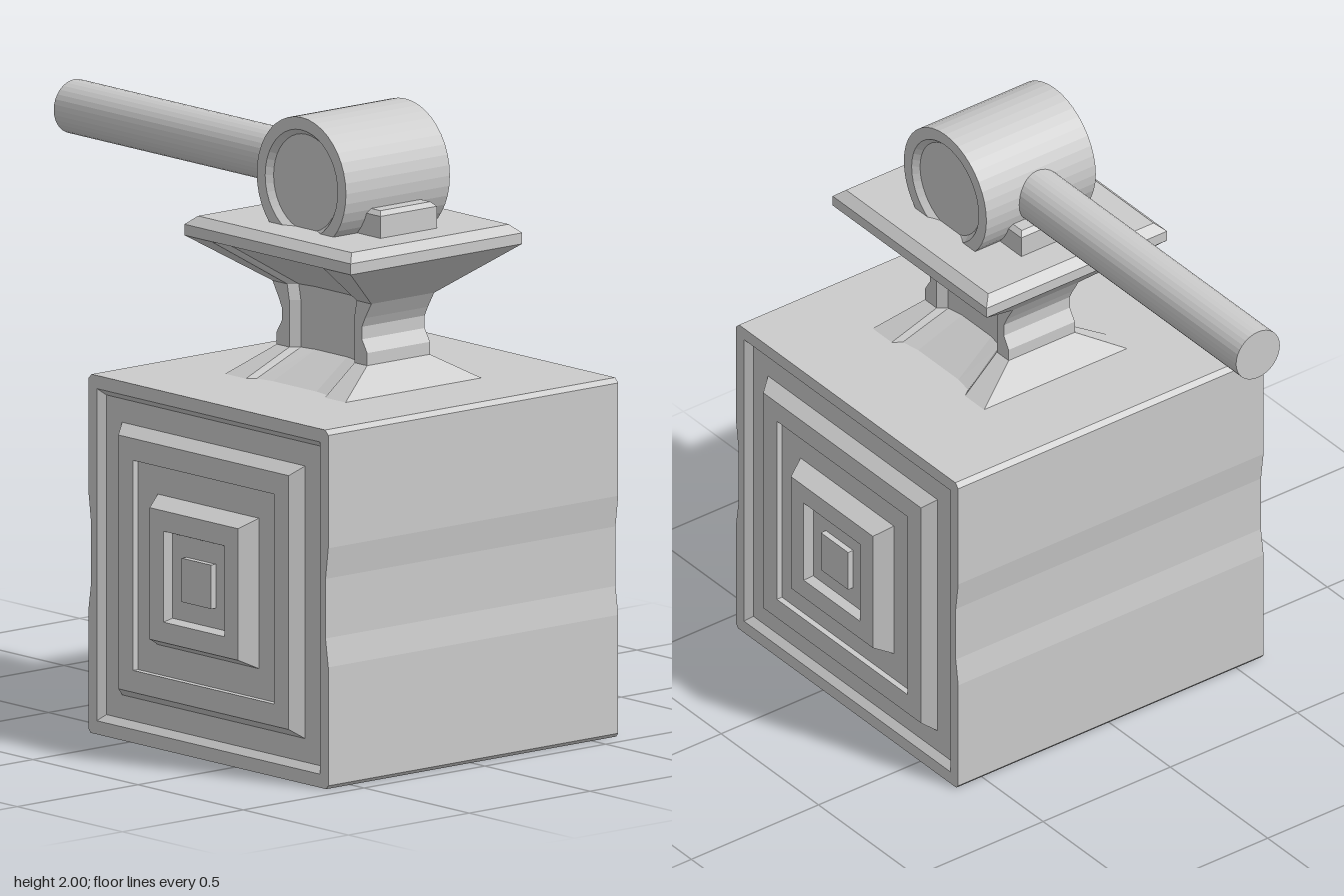
import * as THREE from 'three';

const CX = 0.375;   // centre line of the block, neck and drum
const BODY_Y = 0.573;

const material = new THREE.MeshStandardMaterial({ color: 0xcccccc, flatShading: true });

function part(name, geometry, x = 0, y = 0, z = 0) {
  const mesh = new THREE.Mesh(geometry, material);
  mesh.name = name;
  mesh.position.set(x, y, z);
  return mesh;
}

// Skins a stack of equal-length rings, each running counterclockwise seen from above
function loft(rings) {
  const n = rings[0].length;
  const index = [];
  for (let r = 0; r < rings.length - 1; r++) {
    for (let i = 0; i < n; i++) {
      const a = r * n + i, b = r * n + (i + 1) % n;
      index.push(a, b, b + n, a, b + n, a + n);
    }
  }
  const g = new THREE.BufferGeometry();
  g.setAttribute('position', new THREE.Float32BufferAttribute(rings.flat(2), 3));
  g.setIndex(index);
  const flat = g.toNonIndexed();
  flat.computeVertexNormals();
  return flat;
}

// Rectangular loft from rows of [y, half width, half depth]
const rectLoft = rows => loft(rows.map(([y, w, d]) =>
  [[-w, y, d], [w, y, d], [w, y, -d], [-w, y, -d]]));

// Block outline with shallow hollows in both sides, open at front and back for the panels
function bodyGeometry() {
  const side = [[0.56, 0], [0.57, 0.012], [0.57, 0.39], [0.557, 0.48],
    [0.557, 0.67], [0.57, 0.77], [0.57, 1.13], [0.555, 1.145]];
  const outline = [...side, ...side.map(([x, y]) => [-x, y]).reverse()];
  const shape = new THREE.Shape(outline.map(([x, y]) => new THREE.Vector2(x, y)));
  const h = 0.53;
  shape.holes.push(new THREE.Path([[-h, -h], [-h, h], [h, h], [h, -h]]
    .map(([x, y]) => new THREE.Vector2(x, y + BODY_Y))));
  const g = new THREE.ExtrudeGeometry(shape, { depth: 1.2, bevelEnabled: false });
  return g.translate(0, 0, -0.6);
}

// Concentric square steps, from the rim to the middle: [half size, height]
function panelGeometry() {
  const steps = [[0.53, 0.6], [0.51, 0.578], [0.435, 0.578], [0.405, 0.62],
    [0.335, 0.62], [0.335, 0.6], [0.24, 0.6], [0.21, 0.66], [0.145, 0.66],
    [0.135, 0.63], [0.07, 0.63], [0.07, 0.65], [0, 0.65]];
  return rectLoft(steps.map(([h, y]) => [y, h, h])).rotateX(Math.PI / 2);
}

// Flared neck with a stepped channel down its front and back
function neckGeometry() {
  // y, half width, half depth, channel edge, channel floor, centre strip
  const rows = [
    [1.14, 0.29, 0.29, 0.19, 0.17, 0.105],
    [1.23, 0.215, 0.13, 0.155, 0.132, 0.075],
    [1.27, 0.215, 0.13, 0.155, 0.132, 0.075],
    [1.31, 0.19, 0.13, 0.155, 0.132, 0.075],
    [1.35, 0.19, 0.13, 0.155, 0.132, 0.075],
    [1.38, 0.205, 0.13, 0.155, 0.132, 0.075],
    [1.43, 0.235, 0.13, 0.165, 0.142, 0.08],
    [1.58, 0.395, 0.355, 0.265, 0.24, 0.135],
  ];
  const d = 0.028;
  return loft(rows.map(([y, w, z, a, b, c]) => {
    const front = [[-w, z], [-a, z], [-b, z - d], [-c, z - d * 1.4],
      [c, z - d * 1.4], [b, z - d], [a, z], [w, z]];
    return [...front, ...front.map(([px, pz]) => [-px, -pz])].map(([px, pz]) => [px, y, pz]);
  }));
}

// Drum lying along z with a dished face at each end
function drumGeometry() {
  const end = [[0, 0.195], [0.155, 0.195], [0.172, 0.215], [0.212, 0.215]];
  const profile = [...end.map(([r, y]) => [r, -y]), ...end.slice().reverse()];
  return new THREE.LatheGeometry(profile.map(([r, y]) => new THREE.Vector2(r, y)), 40)
    .rotateX(Math.PI / 2);
}

export function createModel() {
  const model = new THREE.Group();
  model.name = 'hammerAndBlock';

  // Block with a stepped panel front and back
  model.add(part('body', bodyGeometry(), CX));
  const panel = panelGeometry();
  const frontPanel = part('frontPanel', panel, CX, BODY_Y);
  const backPanel = part('backPanel', panel, CX, BODY_Y);
  backPanel.rotation.y = Math.PI;
  model.add(frontPanel, backPanel);

  // Neck, top plate and the cradle that holds the drum
  model.add(part('neck', neckGeometry(), CX));
  model.add(part('topPlate', rectLoft([[1.58, 0, 0], [1.58, 0.395, 0.355],
    [1.615, 0.395, 0.355], [1.642, 0.365, 0.325], [1.642, 0, 0]]), CX));
  model.add(part('cradle', rectLoft([[1.63, 0.263, 0.117], [1.712, 0.263, 0.117],
    [1.726, 0.247, 0.103], [1.726, 0, 0]]), CX));

  // Drum and the handle reaching out to the right
  model.add(part('drum', drumGeometry(), CX, 1.788));
  const handle = new THREE.CylinderGeometry(0.086, 0.086, 1.25, 32).rotateZ(Math.PI / 2);
  model.add(part('handle', handle, -0.325, 1.793));

  return model;
}
